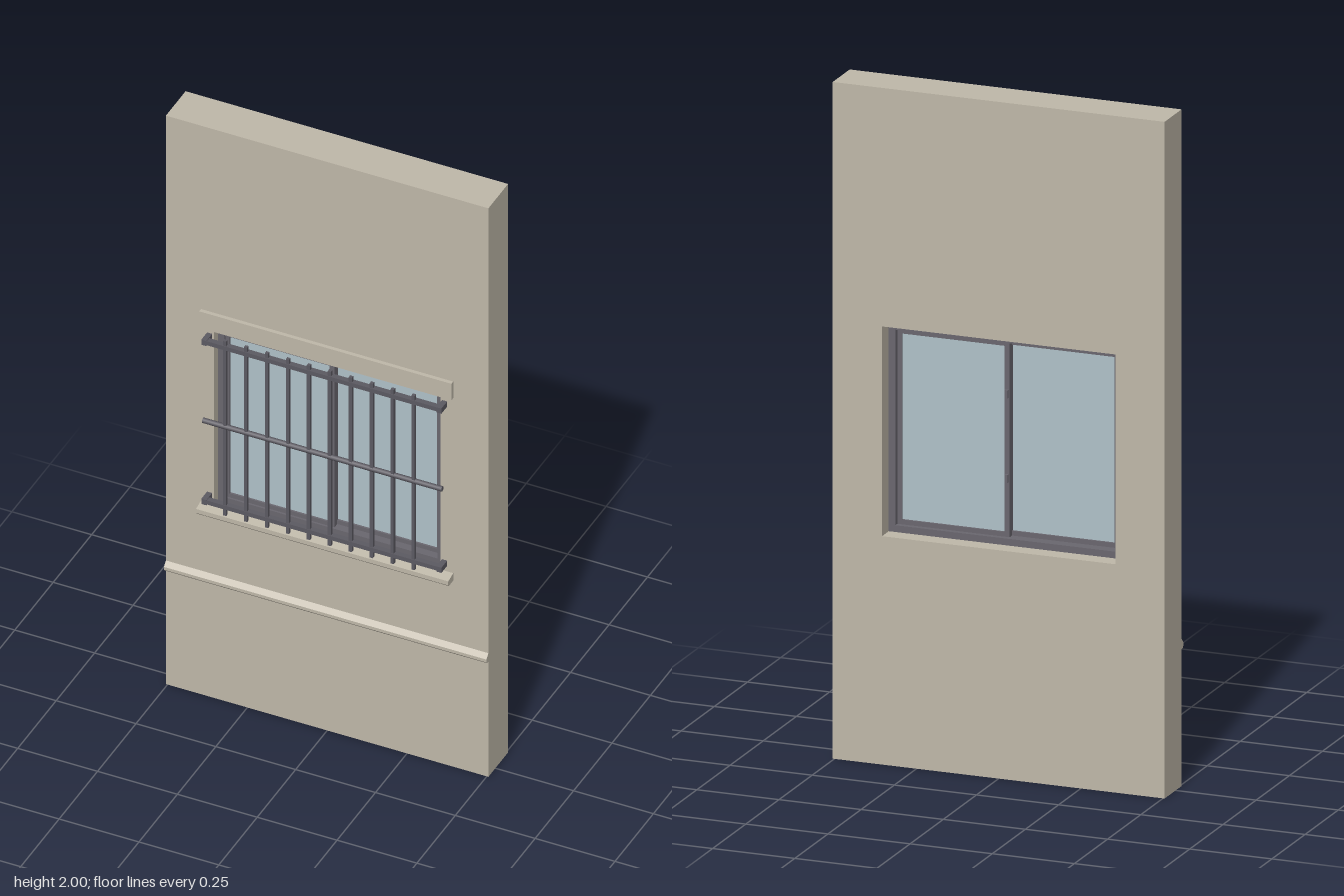
import * as THREE from 'three';

export function createModel() {
  const model = new THREE.Group();
  const mat = (name, color) => {
    const m = new THREE.MeshStandardMaterial({ color });
    m.name = name;
    return m;
  };
  const plaster = mat('plaster', 0xbfb8a9);
  const metal = mat('dark metal', 0x6a676f);
  const iron = mat('bar iron', 0x5c5a62);
  const glass = mat('pale glass', 0xb0c2c9);

  const add = (name, geometry, material, parent = model) => {
    const mesh = new THREE.Mesh(geometry, material);
    mesh.name = name;
    parent.add(mesh);
    return mesh;
  };
  // Box given by its limits on each axis
  const box = (name, x0, x1, y0, y1, z0, z1, material, parent) => {
    const mesh = add(name, new THREE.BoxGeometry(x1 - x0, y1 - y0, z1 - z0), material, parent);
    mesh.position.set((x0 + x1) / 2, (y0 + y1) / 2, (z0 + z1) / 2);
    return mesh;
  };
  // Moulding: a (z, y) profile swept along x
  const moulding = (name, profile, halfWidth) => {
    const shape = new THREE.Shape(profile.map(([z, y]) => new THREE.Vector2(-z, y)));
    const g = new THREE.ExtrudeGeometry(shape, { depth: 2 * halfWidth, bevelEnabled: false });
    g.translate(0, 0, -halfWidth);
    g.rotateY(Math.PI / 2);
    return add(name, g, plaster);
  };
  const rectangle = (Type, x, y0, y1) => new Type([
    new THREE.Vector2(-x, y0), new THREE.Vector2(x, y0),
    new THREE.Vector2(x, y1), new THREE.Vector2(-x, y1),
  ]);
  const ring = (x, y0, y1, border, depth) => {
    const shape = rectangle(THREE.Shape, x, y0, y1);
    shape.holes.push(rectangle(THREE.Path, x - border, y0 + border, y1 - border));
    return new THREE.ExtrudeGeometry(shape, { depth, bevelEnabled: false });
  };

  // Wall with its window opening
  const back = -0.083, front = 0.045;
  const wallShape = rectangle(THREE.Shape, 0.505, 0, 2);
  wallShape.holes.push(rectangle(THREE.Path, 0.355, 0.675, 1.295));
  add('wall', new THREE.ExtrudeGeometry(wallShape, { depth: front - back, bevelEnabled: false }), plaster)
    .position.z = back;

  // Trim on the front face
  box('lintel', -0.395, 0.395, 1.297, 1.355, front - 0.005, 0.057, plaster);
  moulding('sill', [[0.04, 0.655], [0.074, 0.655], [0.078, 0.66], [0.078, 0.674], [0.04, 0.682]], 0.395);
  moulding('ledge', [[0.04, 0.405], [0.053, 0.405], [0.058, 0.411], [0.058, 0.421], [0.045, 0.435], [0.04, 0.435]], 0.505);

  // Sliding window: outer frame and two offset sashes
  const windowGroup = new THREE.Group();
  windowGroup.name = 'window';
  model.add(windowGroup);
  add('windowFrame', ring(0.354, 0.676, 1.294, 0.02, 0.055), metal, windowGroup).position.z = -0.035;
  for (const [name, side, z] of [['leftSash', 1, -0.012], ['rightSash', -1, 0.006]]) {
    const sash = new THREE.Group();
    sash.name = name;
    sash.position.set(side * 0.164, 0, z);
    windowGroup.add(sash);
    add('sashFrame', ring(0.172, 0.694, 1.276, 0.016, 0.016), metal, sash).position.z = -0.008;
    box('pane', -0.158, 0.158, 0.708, 1.262, -0.002, 0.002, glass, sash);
  }
  for (const y of [0.87, 1.12]) box('latch', -0.005, 0.005, y - 0.012, y + 0.012, -0.028, -0.018, metal, windowGroup);

  // Security grille
  const grille = new THREE.Group();
  grille.name = 'grille';
  model.add(grille);
  for (let i = 0; i < 10; i++) {
    const x = -0.305 + i * 0.0656;
    box('verticalBar', x - 0.005, x + 0.005, 0.68, 1.293, 0.069, 0.079, iron, grille);
  }
  for (const y of [0.71, 1.27]) {
    box('rail', -0.375, 0.375, y - 0.007, y + 0.007, 0.064, 0.081, iron, grille);
    for (const side of [-1, 1]) {
      const x = side * 0.368;
      box('wallBracket', x - 0.008, x + 0.008, y - 0.009, y + 0.009, front - 0.003, 0.083, iron, grille);
    }
  }
  const middle = add('middleRail', new THREE.CylinderGeometry(0.008, 0.008, 0.75, 8), iron, grille);
  middle.rotation.z = Math.PI / 2;
  middle.position.set(0, 0.99, 0.074);

  return model;
}
